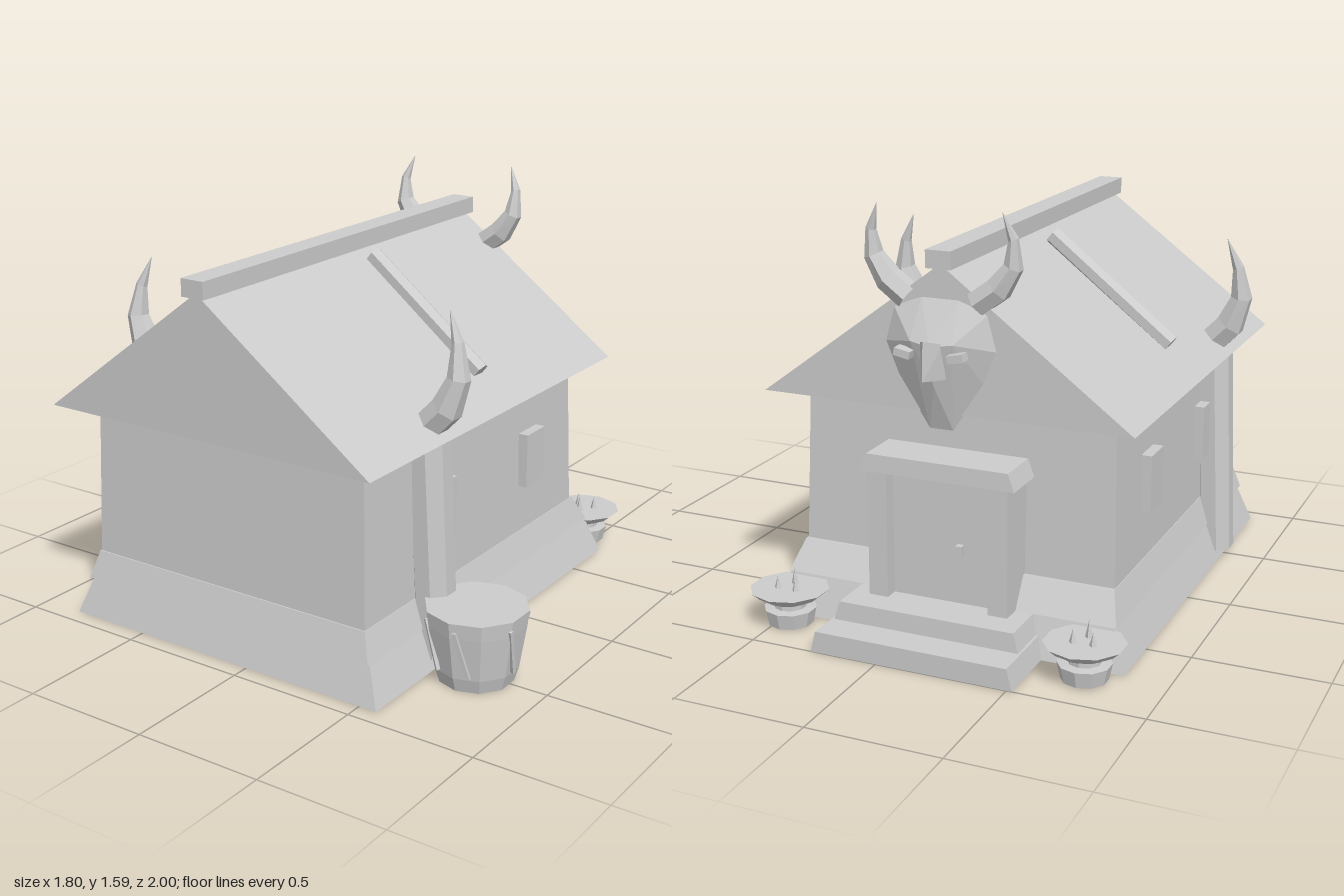
import * as THREE from 'three';
import { ConvexGeometry } from 'three/addons/geometries/ConvexGeometry.js';

const CX = -0.13; // the house's middle plane

export function createModel() {
  const model = new THREE.Group();
  model.name = 'hornedHut';
  const stone = new THREE.MeshStandardMaterial({
    color: 0xcccccc, flatShading: true, side: THREE.DoubleSide });
  stone.name = 'paleStone';

  const add = (name, geometry, x = 0, y = 0, z = 0, parent = model) => {
    const mesh = new THREE.Mesh(geometry, stone);
    mesh.name = name;
    mesh.position.set(x, y, z);
    parent.add(mesh);
    return mesh;
  };
  const box = (name, w, h, d, x, y, z, parent) =>
    add(name, new THREE.BoxGeometry(w, h, d), x, y, z, parent);

  // Tapered block between two rectangles: [height, half width, back z, front z]
  const block = (name, low, high, hollow = false) => {
    const g = new THREE.BoxGeometry(1, 1, 1);
    const p = g.attributes.position;
    for (let i = 0; i < p.count; i++) {
      const [y, half, back, front] = p.getY(i) < 0 ? low : high;
      p.setXYZ(i, Math.sign(p.getX(i)) * half, y, p.getZ(i) < 0 ? back : front);
    }
    if (hollow) { // leave out the underside
      const index = Array.from(g.index.array);
      index.splice(18, 6);
      g.setIndex(index);
      g.clearGroups();
    }
    return add(name, g, CX);
  };

  // Straight rod between two points
  const rod = (name, a, b, rBottom, rTop, sides, turn) => {
    const from = new THREE.Vector3(...a), to = new THREE.Vector3(...b);
    const dir = to.clone().sub(from);
    const g = new THREE.CylinderGeometry(rTop, rBottom, dir.length(), sides);
    g.rotateY(turn);
    const mesh = add(name, g);
    mesh.position.copy(from).add(to).multiplyScalar(0.5);
    mesh.quaternion.setFromUnitVectors(new THREE.Vector3(0, 1, 0), dir.normalize());
    return mesh;
  };

  // Curved horn: a tube narrowed ring by ring
  const horn = (name, points, radii) => {
    const curve = new THREE.CatmullRomCurve3(points.map(q => new THREE.Vector3(...q)));
    const rings = radii.length - 1, sides = 6;
    const g = new THREE.TubeGeometry(curve, rings, 1, sides);
    const p = g.attributes.position, v = new THREE.Vector3();
    for (let i = 0; i < p.count; i++) {
      const ring = Math.floor(i / (sides + 1));
      const c = curve.getPointAt(ring / rings);
      v.fromBufferAttribute(p, i).sub(c).multiplyScalar(radii[ring]).add(c);
      p.setXYZ(i, v.x, v.y, v.z);
    }
    return add(name, g);
  };

  const lathe = points =>
    new THREE.LatheGeometry(points.map(q => new THREE.Vector2(...q)), 10);

  // Hollow flared footing, plinth and walls
  block('footing', [0, 0.70, -0.735, 0.933], [0.15, 0.645, -0.69, 0.89], true);
  block('plinth', [0.15, 0.652, -0.69, 0.911], [0.26, 0.618, -0.62, 0.88]);
  block('walls', [0.26, 0.615, -0.605, 0.875], [0.865, 0.60, -0.58, 0.853]);

  // Solid gable roof with ridge beam
  const gable = new THREE.Shape([
    new THREE.Vector2(-0.712, 0.86), new THREE.Vector2(0.712, 0.86), new THREE.Vector2(0, 1.39)]);
  add('roof', new THREE.ExtrudeGeometry(gable, { depth: 1.70, bevelEnabled: false }), CX, 0, -0.718);
  box('ridgeBeam', 0.096, 0.065, 1.735, CX, 1.408, 0.132);

  // Parts repeated on both sides
  for (const s of [-1, 1]) {
    const side = s < 0 ? 'right' : 'left';
    const X = d => CX + s * d;
    rod(side + 'RoofBatten', [X(0.58), 0.98, 0.07], [X(0.10), 1.36, 0.07], 0.035, 0.035, 6, Math.PI / 6);

    // Leaning post crowned by a horn
    rod(side + 'Post', [X(0.662), 0.035, 0.49], [X(0.622), 0.865, 0.49], 0.08, 0.083, 8, Math.PI / 8);
    horn(side + 'PostHorn',
      [[X(0.61), 0.885, 0.488], [X(0.705), 0.99, 0.485], [X(0.74), 1.13, 0.475], [X(0.68), 1.32, 0.45]],
      [0.06, 0.06, 0.043, 0.023, 0.001]);

    for (const z of [-0.252, 0.40])
      box(side + 'Window', 0.06, 0.215, 0.135, X(0.615), 0.557, z);

    // Door posts
    box(side + 'DoorPost', 0.075, 0.50, 0.18, X(0.235), 0.385, -0.675);

    // Skull horns and eyes
    horn(side + 'SkullHorn',
      [[X(0.13), 1.26, -0.695], [X(0.22), 1.33, -0.695], [X(0.275), 1.44, -0.70], [X(0.235), 1.585, -0.725]],
      [0.05, 0.05, 0.036, 0.019, 0.001]);
    box(side + 'SkullEye', 0.06, 0.028, 0.045, X(0.10), 1.09, -0.80).rotation.z = s * 0.2;

    // Spiked brazier bowl beside the steps, open underneath
    const bowl = new THREE.Group();
    bowl.name = side + 'Brazier';
    bowl.position.set(X(0.582), 0, -0.81);
    model.add(bowl);
    add('bowl', lathe([[0.085, 0.005], [0.098, 0.065], [0.06, 0.068], [0.06, 0.085],
      [0.12, 0.115], [0.148, 0.14], [0, 0.14]]), 0, 0, 0, bowl);
    for (const [x, z, h] of [[-0.037, -0.02, 0.05], [0.037, -0.02, 0.05], [0, 0.04, 0.068]])
      add('spike', new THREE.ConeGeometry(0.015, h, 4), x, 0.14 + h / 2, z, bowl);
  }

  // Horned skull on the back gable
  const skull = [[0, 1.12, -0.81], [0, 0.97, -0.775], [0, 0.80, -0.66]];
  for (const s of [-1, 1])
    skull.push([s * 0.07, 1.27, -0.72], [s * 0.18, 1.23, -0.715], [s * 0.215, 1.10, -0.715],
      [s * 0.165, 0.98, -0.715], [s * 0.045, 0.80, -0.715], [s * 0.08, 1.13, -0.795], [s * 0.05, 1.2, -0.66]);
  add('skull', new ConvexGeometry(skull.map(q => new THREE.Vector3(...q))), CX);
  const nose = [[0, 1.15, -0.86], [0, 1.01, -0.865]];
  for (const s of [-1, 1]) nose.push([s * 0.045, 1.13, -0.79], [s * 0.045, 1.0, -0.775]);
  add('skullNose', new ConvexGeometry(nose.map(q => new THREE.Vector3(...q))), CX);

  // Back doorway: steps, door, lintel and handle
  block('lowerStep', [0, 0.39, -1.0, -0.72], [0.08, 0.37, -1.0, -0.71], true);
  block('upperStep', [0.08, 0.36, -0.875, -0.71], [0.15, 0.34, -0.87, -0.685]);
  box('door', 0.42, 0.49, 0.12, CX, 0.395, -0.65);
  block('lintel', [0.625, 0.30, -0.772, -0.58], [0.69, 0.275, -0.768, -0.58]);
  box('doorHandle', 0.025, 0.035, 0.03, CX - 0.07, 0.36, -0.72);

  // Ten-sided pot with slanting ribs by the left post, open underneath
  const pot = new THREE.Group();
  pot.name = 'pot';
  pot.position.set(0.715, 0, 0.512);
  model.add(pot);
  add('potBody', lathe([[0.14, 0], [0.157, 0.055], [0.183, 0.22], [0.19, 0.28], [0, 0.28]]),
    0, 0, 0, pot);
  for (const angle of [-0.6, 0.23, 1.35, 2.4, 3.5]) {
    const holder = new THREE.Group();
    holder.name = 'potRibHolder';
    holder.rotation.y = angle;
    pot.add(holder);
    box('potRib', 0.014, 0.19, 0.014, 0, 0.155, 0.171, holder).rotation.set(0.14, 0, 0.25);
  }
  return model;
}
